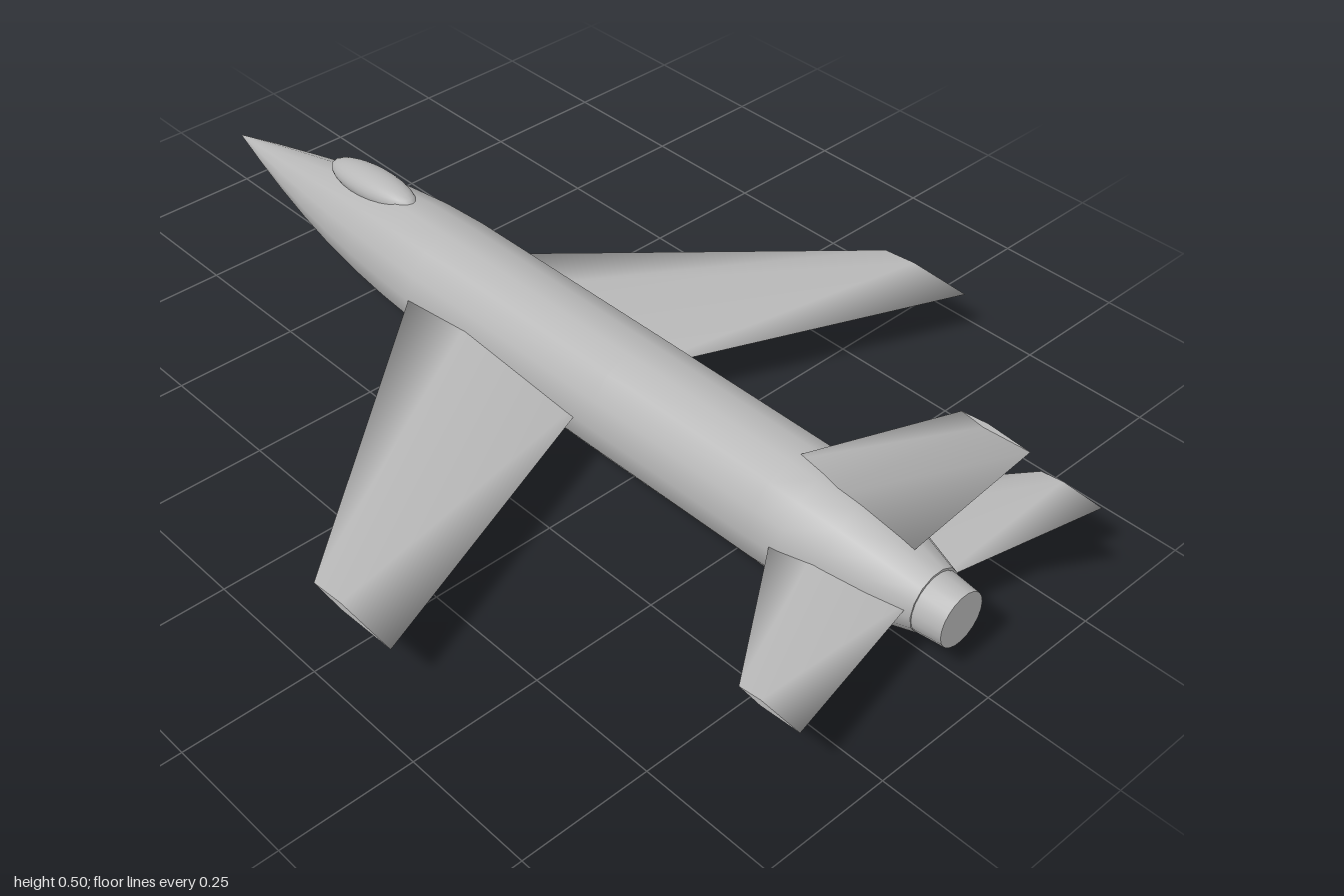
import * as THREE from 'three';

// Smooth skin over matching rings of points, with flat, sharp-edged end caps
function loft(rings) {
  const n = rings[0].length;
  const first = rings[0], end = rings[rings.length - 1];
  const pts = [...rings, first, end].flat();
  const index = [];
  for (let r = 0; r < rings.length - 1; r++) {
    for (let i = 0; i < n; i++) {
      const j = (i + 1) % n;
      const a = r * n + i, b = r * n + j, c = a + n, d = b + n;
      index.push(a, b, c, b, d, c);
    }
  }
  const capA = rings.length * n, capB = capA + n;
  for (let i = 1; i < n - 1; i++) {
    index.push(capA, capA + i + 1, capA + i, capB, capB + i, capB + i + 1);
  }
  // turn the faces outward if the enclosed volume is negative
  let volume = 0;
  for (let i = 0; i < index.length; i += 3) {
    const [a, b, c] = [0, 1, 2].map((k) => pts[index[i + k]]);
    volume += a.dot(b.clone().cross(c));
  }
  if (volume < 0) index.reverse();
  const geo = new THREE.BufferGeometry().setFromPoints(pts);
  geo.setIndex(index);
  geo.computeVertexNormals();
  return geo;
}

// Ring of an elliptic body section with a flat facet on top
function bodyRing(z, y, rx, ry, sides = 14) {
  return Array.from({ length: sides }, (_, i) => {
    const a = Math.PI / 2 + ((i + 0.5) / sides) * Math.PI * 2;
    return new THREE.Vector3(Math.cos(a) * rx, y + Math.sin(a) * ry, z);
  });
}

// Thin diamond foil section; place(t, z) puts thickness and chord in space
function foilRing(lead, trail, half, place) {
  return [[0, 0], [0.36, 1], [1, 0], [0.36, -1]]
    .map(([c, t]) => place(t * half, lead + c * (trail - lead)));
}

export function createModel() {
  const model = new THREE.Group();
  model.name = 'jetAircraft';
  const grey = new THREE.MeshStandardMaterial({ color: 0xb8b8b8 });
  grey.name = 'bare grey';

  const add = (name, geo) => {
    const mesh = new THREE.Mesh(geo, grey);
    mesh.name = name;
    model.add(mesh);
    return mesh;
  };

  // Fuselage: z, centre height, half width, half height
  const body = [
    [-1, 0.109, 0.001, 0.001], [-0.9, 0.11, 0.026, 0.025], [-0.8, 0.111, 0.049, 0.047],
    [-0.7, 0.112, 0.069, 0.069], [-0.6, 0.113, 0.086, 0.088], [-0.5, 0.114, 0.099, 0.103],
    [-0.4, 0.115, 0.108, 0.114], [-0.3, 0.115, 0.114, 0.118], [0.2, 0.118, 0.115, 0.118],
    [0.58, 0.122, 0.115, 0.115], [0.64, 0.122, 0.112, 0.112], [0.72, 0.122, 0.099, 0.1],
    [0.8, 0.121, 0.081, 0.082], [0.875, 0.12, 0.058, 0.06],
  ];
  add('fuselage', loft(body.map(([z, y, rx, ry]) => bodyRing(z, y, rx, ry))));

  // Exhaust nozzle
  add('nozzle', loft([[0.84, 0.055], [0.88, 0.055], [0.93, 0.05]]
    .map(([z, r]) => bodyRing(z, 0.118, r, r + 0.002, 20))));

  // Canopy bubble, nose slightly down
  const canopy = add('canopy', new THREE.SphereGeometry(1, 24, 16));
  canopy.scale.set(0.04, 0.031, 0.126);
  canopy.position.set(0, 0.209, -0.543);
  canopy.rotation.x = -0.07;

  // Swept wings and tailplanes, mirrored: x, height, leading z, trailing z, half thickness
  const pairs = {
    Wing: [[0.04, 0.118, -0.361, 0.133, 0.018], [0.69, 0.105, 0.18, 0.377, 0.007]],
    Tailplane: [[0.02, 0.129, 0.559, 0.855, 0.011], [0.364, 0.128, 0.802, 0.926, 0.006]],
  };
  for (const [name, sections] of Object.entries(pairs)) {
    for (const [side, s] of [['left', 1], ['right', -1]]) {
      add(side + name, loft(sections.map(([x, y, lead, trail, half]) =>
        foilRing(lead, trail, half, (t, z) => new THREE.Vector3(s * x, y + t, z)))));
    }
  }

  // Upright fin: height, leading z, trailing z, half thickness
  add('fin', loft([[0.15, 0.49, 0.802, 0.012], [0.503, 0.875, 1, 0.006]]
    .map(([y, lead, trail, half]) =>
      foilRing(lead, trail, half, (t, z) => new THREE.Vector3(t, y, z)))));

  return model;
}
